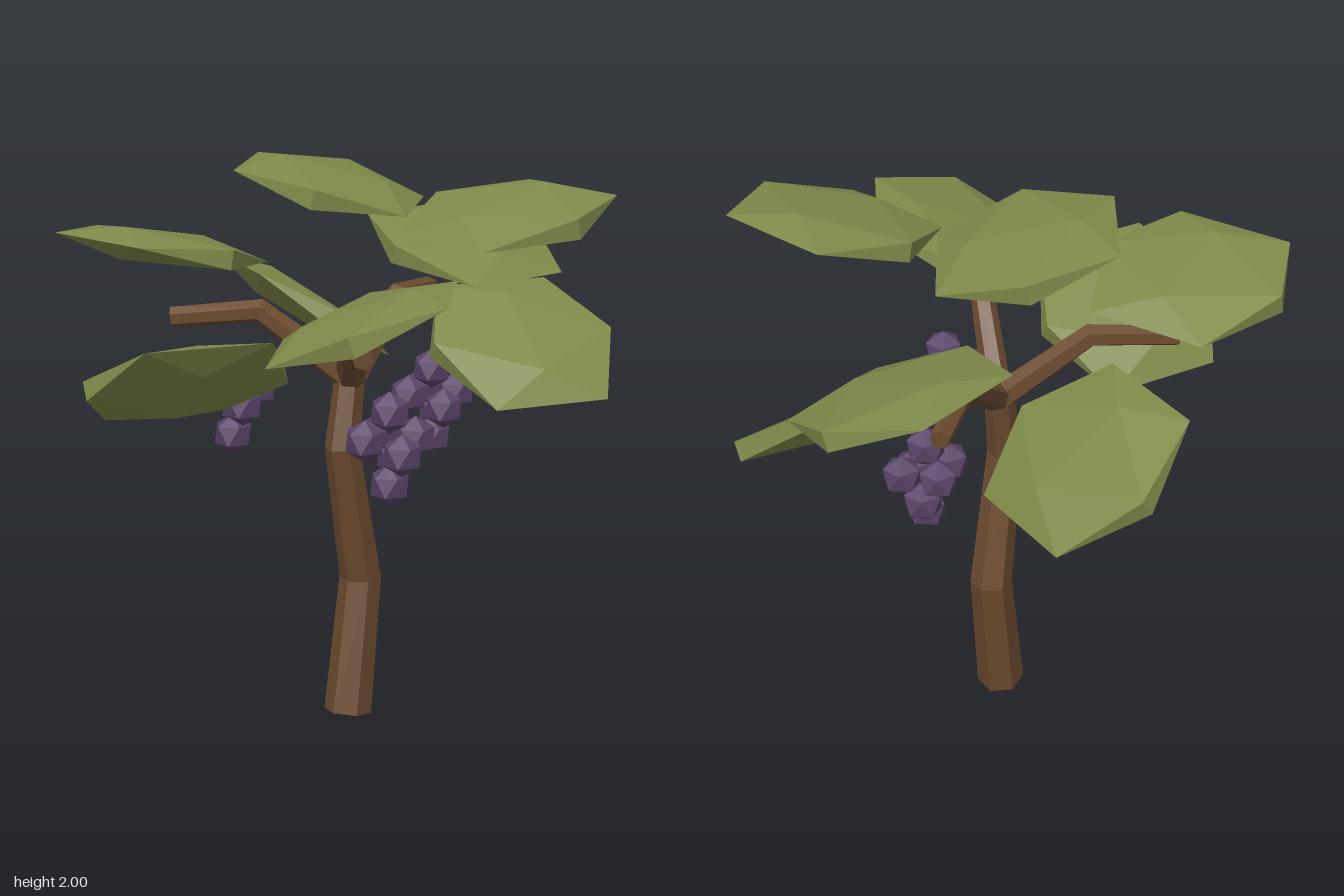
import * as THREE from 'three';

const bark = new THREE.MeshStandardMaterial({ color: 0x6b4a2f, flatShading: true });
const foliage = new THREE.MeshStandardMaterial({ color: 0x7f8a4a, flatShading: true });
const fruit = new THREE.MeshStandardMaterial({ color: 0x5a4468, flatShading: true });

// Six-sided limb: each row of a cylinder is moved onto a point of the path
function limb(name, path, radii) {
  const pts = path.map((p) => new THREE.Vector3(...p));
  const last = pts.length - 1;
  const up = new THREE.Vector3(0, 1, 0);
  const turns = pts.map((p, i) => {
    const dir = new THREE.Vector3();
    if (i > 0) dir.add(p.clone().sub(pts[i - 1]).normalize());
    if (i < last) dir.add(pts[i + 1].clone().sub(p).normalize());
    return new THREE.Quaternion().setFromUnitVectors(up, dir.normalize());
  });
  const geo = new THREE.CylinderGeometry(1, 1, 1, 6, last);
  const pos = geo.attributes.position;
  const v = new THREE.Vector3();
  for (let i = 0; i < pos.count; i++) {
    v.fromBufferAttribute(pos, i);
    const row = Math.round((v.y + 0.5) * last);
    v.y = 0;
    v.multiplyScalar(radii[row]).applyQuaternion(turns[row]).add(pts[row]);
    pos.setXYZ(i, v.x, v.y, v.z);
  }
  geo.computeVertexNormals();
  const mesh = new THREE.Mesh(geo, bark);
  mesh.name = name;
  return mesh;
}

export function createModel() {
  const model = new THREE.Group();
  model.name = 'fruitTree';

  // Crooked trunk
  model.add(limb('trunk',
    [[-0.005, 0.015, 0.04], [0.06, 0.5, 0], [-0.03, 1, 0.05], [0.015, 1.29, 0.02]],
    [0.085, 0.075, 0.062, 0.052]));

  // Three bent branches: elbow, tip
  const branches = [
    [[-0.1, 1.475, 0.3], [-0.2, 1.455, 0.63]],
    [[0.28, 1.475, -0.19], [0.5, 1.45, -0.39]],
    [[-0.27, 1.475, -0.12], [-0.55, 1.45, -0.25]],
  ];
  for (const [elbow, tip] of branches) {
    model.add(limb('branch', [[0.01, 1.24, 0.03], elbow, tip], [0.052, 0.043, 0.036]));
  }

  // Flat leaf pads: x, y, z, heading and roll in degrees
  const leafGeo = new THREE.IcosahedronGeometry(1, 0).scale(0.36, 0.066, 0.41);
  const leaves = [
    [0.095, 1.37, -0.63, 0, -34],
    [0.645, 1.325, 0.08, 90, 34],
    [-0.65, 1.325, 0.2, 88, -34],
    [-0.205, 1.575, 0.645, -29, 20],
    [0.4, 1.855, 0.44, 16, 12],
    [0, 1.9, -0.13, -32, -13.5],
    [-0.565, 1.69, -0.287, 24, -12],
    [0.61, 1.615, -0.33, -72, -18],
  ];
  for (const [x, y, z, heading, roll] of leaves) {
    const leaf = new THREE.Mesh(leafGeo, foliage);
    leaf.name = 'leaf';
    leaf.position.set(x, y, z);
    leaf.rotation.set(0, THREE.MathUtils.degToRad(heading), THREE.MathUtils.degToRad(roll), 'YXZ');
    model.add(leaf);
  }

  // Berry clusters, each berry standing on a corner
  const berryGeo = new THREE.IcosahedronGeometry(0.073, 0)
    .rotateX(-Math.atan2((1 + Math.sqrt(5)) / 2, 1));
  const offsets = [
    [0, 0.12, 0], [0, -0.13, 0], [0.09, 0.03, 0.01], [-0.09, 0.03, 0],
    [0.01, -0.01, 0.08], [0.05, -0.05, -0.06], [0, 0.03, -0.08],
  ];
  for (const [x, y, z] of [[-0.025, 1.1, 0.45], [0.37, 1.1, -0.08], [-0.33, 1.14, -0.24]]) {
    const cluster = new THREE.Group();
    cluster.name = 'berryCluster';
    cluster.position.set(x, y, z);
    for (const o of offsets) {
      const berry = new THREE.Mesh(berryGeo, fruit);
      berry.name = 'berry';
      berry.position.set(...o);
      cluster.add(berry);
    }
    model.add(cluster);
  }
  return model;
}
